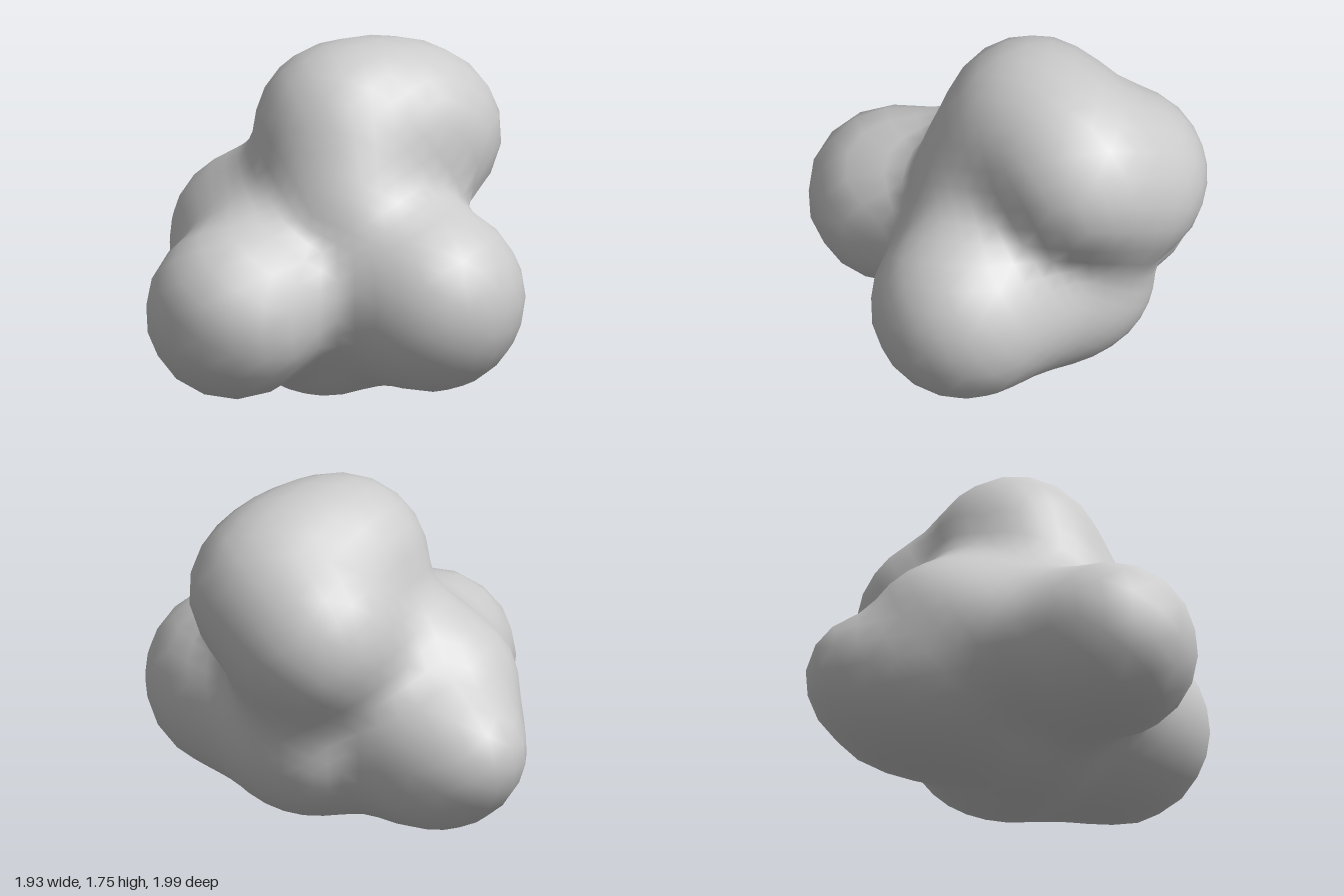
import * as THREE from 'three';
import { mergeVertices } from 'three/addons/utils/BufferGeometryUtils.js';

// Each lobe is a group of spheres: [x, y, z, radius]
const LOBES = [
  // central body, with webs up the front, under the left, behind and along the right side
  [[-0.08, 0.5, -0.05, 0.5], [0.02, 0.65, 0.12, 0.4], [0.04, 0.95, 0.05, 0.41], [0.2, 0.5, -0.15, 0.42],
    [-0.3, 0.5, -0.3, 0.38], [0.1, 0.52, -0.3, 0.44], [-0.42, 0.62, 0.1, 0.37], [-0.27, 0.74, 0.12, 0.38]],
  // top lobe, leaning back and to the left
  [[-0.01, 1.31, -0.13, 0.435], [0.15, 1.31, -0.28, 0.43], [0.09, 1.1, -0.54, 0.455], [0.28, 1.25, -0.4, 0.42]],
  // left lobe
  [[0.51, 0.58, 0.15, 0.46]],
  // front lobe
  [[-0.37, 0.56, 0.57, 0.43]],
  // back right lobe, with a ridge running forward and up
  [[-0.55, 0.5, -0.49, 0.4], [-0.68, 0.54, -0.63, 0.27], [-0.5, 0.72, -0.25, 0.4],
    [-0.5, 0.49, -0.33, 0.4], [-0.34, 0.85, -0.22, 0.35]],
];

// Blend two distances with a rounded fillet of size k
function smoothMin(a, b, k) {
  const h = Math.max(k - Math.abs(a - b), 0) / k;
  return Math.min(a, b) - h * h * k * 0.25;
}

function distance(p) {
  const lobes = LOBES.map((spheres) => spheres
    .map(([x, y, z, r]) => Math.hypot(p.x - x, p.y - y, p.z - z) - r)
    .reduce((a, b) => smoothMin(a, b, 0.1)));
  return lobes.reduce((a, b) => smoothMin(a, b, 0.2));
}

// Shrink a sphere along its rays until it lies on the blended lobes
function blobGeometry() {
  const raw = new THREE.IcosahedronGeometry(1, 8);
  raw.deleteAttribute('normal');
  raw.deleteAttribute('uv');
  const geometry = mergeVertices(raw, 1e-4);
  const pos = geometry.attributes.position;
  const centre = new THREE.Vector3(-0.01, 0.7, -0.1);
  const dir = new THREE.Vector3();
  const p = new THREE.Vector3();
  for (let i = 0; i < pos.count; i++) {
    dir.fromBufferAttribute(pos, i).normalize();
    let t = 1.8;
    for (let step = 0; step < 150; step++) {
      p.copy(centre).addScaledVector(dir, t);
      const d = distance(p);
      if (d < 0.0005) break;
      t -= d * 0.9;
    }
    pos.setXYZ(i, p.x, p.y, p.z);
  }
  geometry.computeVertexNormals();
  return geometry;
}

export function createModel() {
  const group = new THREE.Group();
  group.name = 'lobedBlob';
  const body = new THREE.Mesh(blobGeometry(), new THREE.MeshStandardMaterial({ color: 0xcccccc }));
  body.name = 'body';
  group.add(body);
  return group;
}
